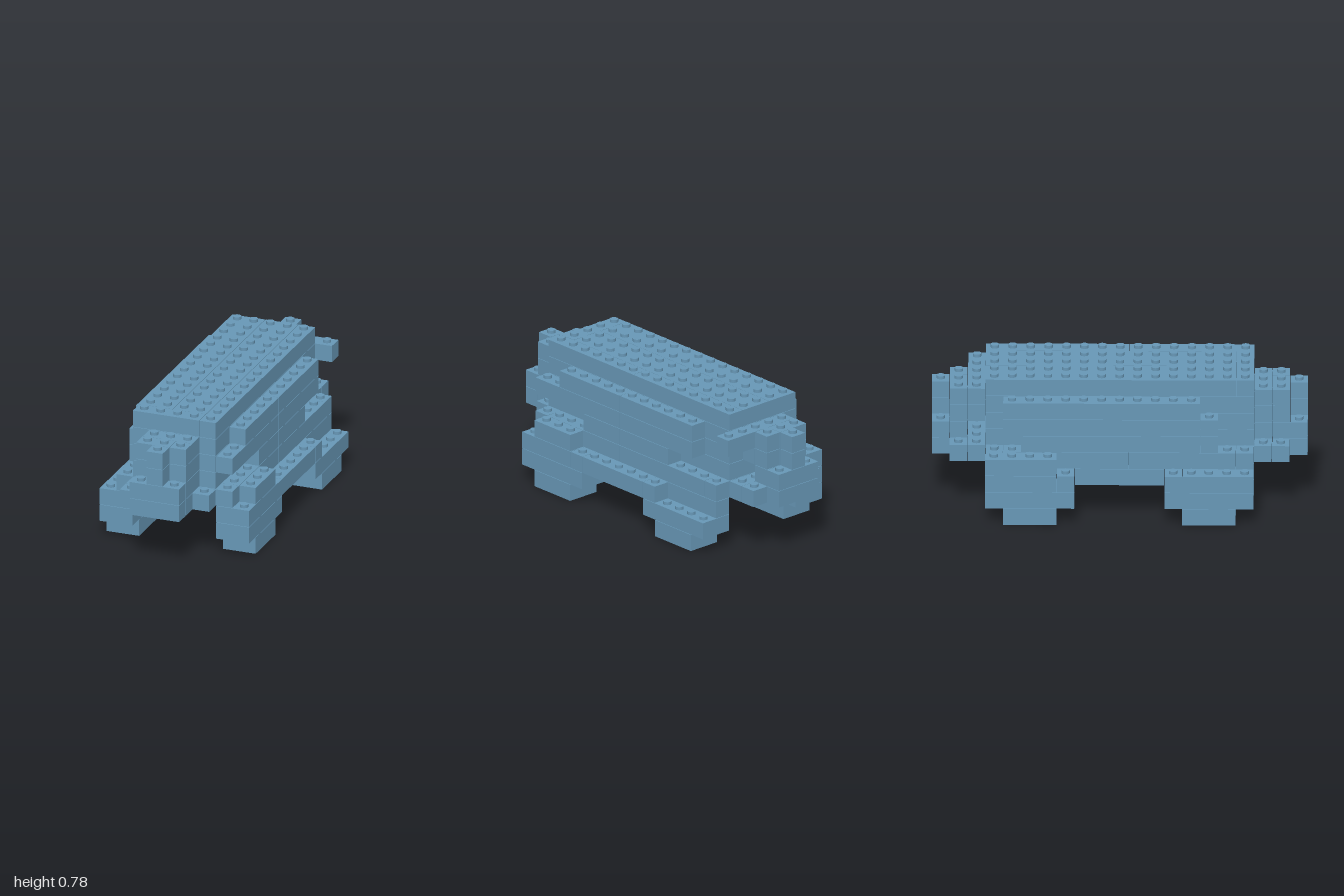
import * as THREE from 'three';
import { mergeGeometries } from 'three/addons/utils/BufferGeometryUtils.js';

const P = 2 / 21;      // stud pitch and brick height
const GAP = 0.0025;    // seam between bricks
const STUD = 0.017;    // stud height

export function createModel() {
  const blue = new THREE.MeshStandardMaterial({ color: 0x6797b6 });
  blue.name = 'brick blue';

  const parts = new Map();   // part name -> bricks
  const filled = new Set();  // occupied cells

  // One brick on layer k, covering columns c0..c1 and rows r0..r1
  function brick(part, k, c0, c1, r0, r1) {
    if (!parts.has(part)) parts.set(part, []);
    parts.get(part).push({ k, c0, c1, r0, r1 });
    for (let c = c0; c <= c1; c++) {
      for (let r = r0; r <= r1; r++) filled.add(`${k},${c},${r}`);
    }
  }

  // Same, with columns and rows counted outwards from the middle
  function outward(part, k, side, c0, c1, end, r0, r1) {
    const [a, b] = side > 0 ? [c0, c1] : [-c1, -c0];
    const [f, g] = end > 0 ? [r0, r1] : [-r1, -r0];
    brick(part, k, a, b, f, g);
  }

  // Four stepped legs
  for (const side of [1, -1]) {
    for (const end of [1, -1]) {
      const part = (end > 0 ? 'front' : 'back') + (side > 0 ? 'LeftLeg' : 'RightLeg');
      outward(part, 0, side, 3, 4, end, 4, 6);
      outward(part, 1, side, 3, 4, end, 3, 7);
      outward(part, 2, side, 3, 4, end, 3, 3);
      const cutBack = side > 0 && end < 0;
      outward(part, 2, side, 3, cutBack ? 3 : 4, end, 4, 7);
    }
  }
  // Shoulder and hip blocks beside the body
  brick('frontLeftShoulder', 3, 4, 4, 4, 6);
  brick('backRightHip', 3, -4, -4, -7, -4);

  // Rails joining the legs
  brick('leftRail', 2, 3, 4, -2, 2);
  brick('rightRail', 2, -3, -3, -2, 2);

  // Floor in three strips, with a separate brick at each end
  for (const [c0, c1] of [[-3, -2], [-1, 1], [2, 3]]) {
    brick('bodyFloor', 3, c0, c1, -6, 0);
    brick('bodyFloor', 3, c0, c1, 1, 6);
    for (const r of [-7, 7]) brick('bodyFloor', 3, c0, c1, r, r);
  }

  // Core of the body
  for (let k = 4; k <= 6; k++) {
    brick('bodyCore', k, -2, 1, -7, 7);
    brick('bodyCore', k, 2, 2, -7, 7);
  }

  // Flanks, widening upwards
  for (let k = 4; k <= 6; k++) {
    const half = k === 4 ? 3 : 5;
    brick('leftFlank', k, 3, 3, -half, 0);
    brick('leftFlank', k, 3, 3, 1, half);
    brick('rightFlank', k, -3, -3, k === 4 ? -5 : -6, 4);
    if (k < 6) brick('rightFlank', k, -3, -3, 5, 5);
  }
  brick('leftFlank', 5, 3, 3, 6, 7);

  // Roof
  for (const c of [-2, 0]) brick('roof', 7, c, c + 1, -7, 6);
  brick('roof', 7, -2, 1, 7, 7);
  brick('roof', 7, 2, 2, 1, 7);
  brick('roof', 7, 2, 2, -7, 0);

  // Tapered ends; the back one has an open slot next to the body
  for (const end of [1, -1]) {
    const part = end > 0 ? 'frontEnd' : 'backEnd';
    outward(part, 3, 1, -2, 2, end, 8, 8);
    outward(part, 3, 1, -2, end > 0 ? 1 : 2, end, 9, 9);
    for (let k = 3; k <= 6; k++) {
      const w = k < 5 ? 1 : 0;
      outward(part, k, 1, -w, w, end, 10, 10);
      if (k > 3) {
        outward(part, k, 1, -1, 0, end, 9, 9);
        outward(part, k, 1, 1, 1, end, 9, 9);
      }
      if (k > 4 || (k === 4 && end > 0)) {
        outward(part, k, 1, -1, k === 6 && end < 0 ? 3 : 1, end, 8, 8);
      }
    }
  }

  // Build each part, with studs only where no brick sits on top
  const model = new THREE.Group();
  model.name = 'brickAnimal';
  for (const [name, bricks] of parts) {
    const pieces = [];
    for (const { k, c0, c1, r0, r1 } of bricks) {
      pieces.push(new THREE.BoxGeometry(
        (c1 - c0 + 1) * P - GAP, P - GAP, (r1 - r0 + 1) * P - GAP,
      ).translate((c0 + c1) / 2 * P, (k + 0.5) * P - GAP / 2, (r0 + r1) / 2 * P));
      for (let c = c0; c <= c1; c++) {
        for (let r = r0; r <= r1; r++) {
          if (filled.has(`${k + 1},${c},${r}`)) continue;
          pieces.push(new THREE.CylinderGeometry(0.0225, 0.0225, STUD, 16)
            .translate(c * P, (k + 1) * P - GAP + STUD / 2, r * P));
        }
      }
    }
    const mesh = new THREE.Mesh(mergeGeometries(pieces), blue);
    mesh.name = name;
    model.add(mesh);
  }
  return model;
}
